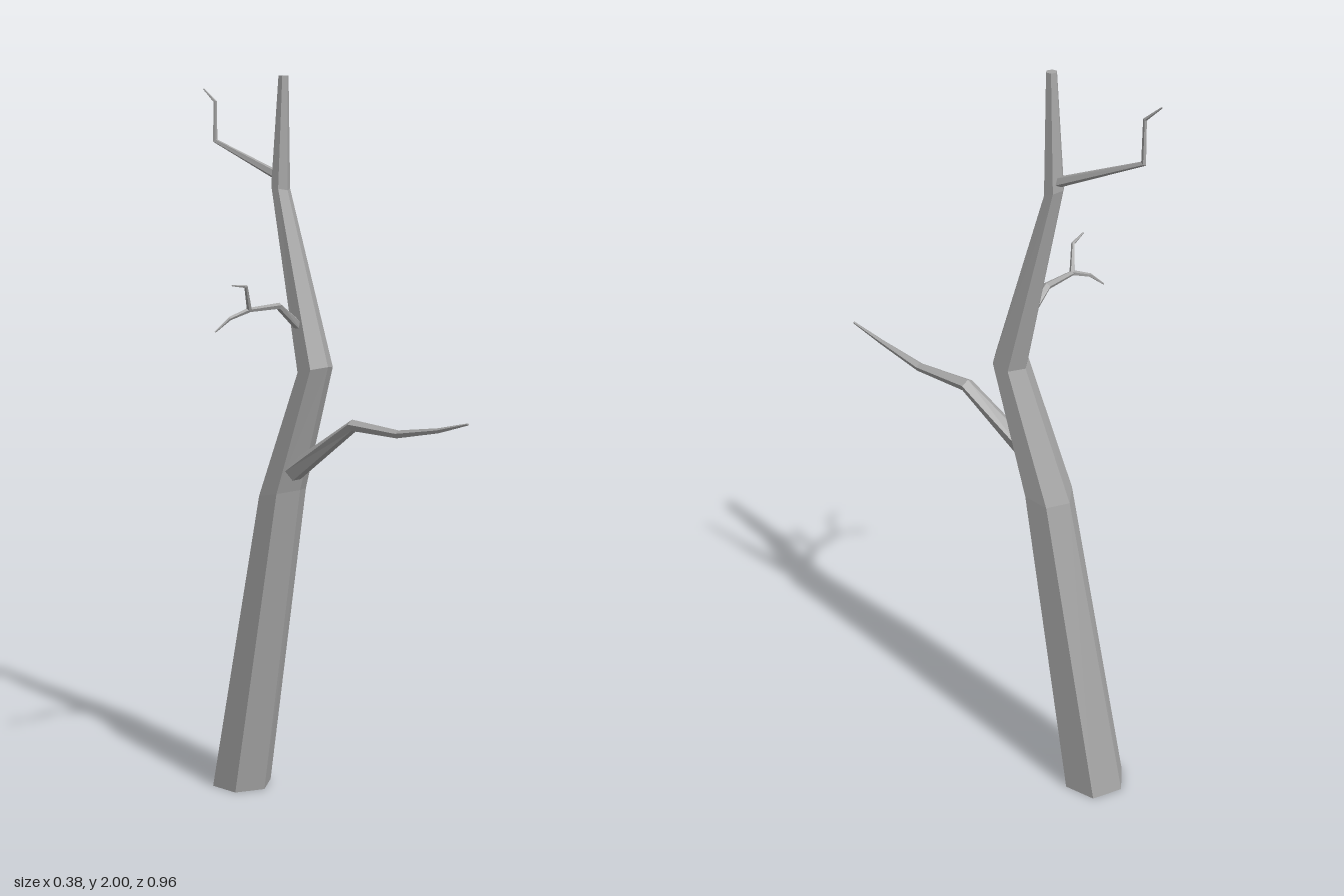
import * as THREE from 'three';

const V = (x, y, z) => new THREE.Vector3(x, y, z);

// Faceted limb through rings [x, y, z, radius across, radius deep, ring normal]
function limb(name, rings, sides, across, material) {
  const pts = rings.map(r => V(r[0], r[1], r[2]));
  const last = rings.length - 1;
  const pos = [], idx = [];
  rings.forEach(([, , , ra, rd = ra, normal], i) => {
    const t = normal ? V(...normal).normalize() : V(0, 0, 0);
    if (!normal) {
      if (i > 0) t.add(pts[i].clone().sub(pts[i - 1]).normalize());
      if (i < last) t.add(pts[i + 1].clone().sub(pts[i]).normalize());
      t.normalize();
    }
    const u = across.clone().addScaledVector(t, -across.dot(t)).normalize();
    const v = t.clone().cross(u);
    for (let j = 0; j < sides; j++) {
      const a = Math.PI / 2 + j / sides * Math.PI * 2;
      const p = pts[i].clone().addScaledVector(u, ra * Math.cos(a)).addScaledVector(v, rd * Math.sin(a));
      pos.push(p.x, p.y, p.z);
    }
  });
  for (let i = 0; i < last; i++) {
    for (let j = 0; j < sides; j++) {
      const k = (j + 1) % sides;
      const a = i * sides + j, b = i * sides + k, c = a + sides, d = b + sides;
      idx.push(a, b, d, a, d, c);
    }
  }
  // End caps
  for (let j = 1; j < sides - 1; j++) {
    const e = last * sides;
    idx.push(0, j + 1, j, e, e + j, e + j + 1);
  }
  let geo = new THREE.BufferGeometry();
  geo.setAttribute('position', new THREE.Float32BufferAttribute(pos, 3));
  geo.setIndex(idx);
  geo = geo.toNonIndexed();
  geo.computeVertexNormals();
  const mesh = new THREE.Mesh(geo, material);
  mesh.name = name;
  return mesh;
}

export function createModel() {
  const group = new THREE.Group();
  group.name = 'bareTree';
  const bark = new THREE.MeshStandardMaterial({ color: 0xa6a6a6 });
  bark.name = 'grey bark';
  const X = V(1, 0, 0), Z = V(0, 0, 1);

  // Six-sided bent trunk
  group.add(limb('trunk', [
    [0.11, 0, -0.36, 0.087, 0.087, [0, 1, 0]],
    [0.11, 0.876, -0.2, 0.071, 0.065, [0, 1, -0.2]],
    [0.11, 1.224, -0.082, 0.054, 0.046, [0, 1, -0.24]],
    [0.11, 1.708, -0.204, 0.028, 0.026, [0, 1, 0.35]],
    [0.11, 2, -0.193, 0.0145, 0.0135, [0, 1, 0]],
  ], 6, X, bark));

  // Long branch reaching forward
  group.add(limb('frontBranch', [
    [0.085, 0.94, -0.14, 0.028],
    [0.081, 1.092, 0.075, 0.022, 0.016],
    [0.063, 1.087, 0.24, 0.014, 0.011],
    [0.044, 1.113, 0.38, 0.007],
    [0.037, 1.14, 0.477, 0.003],
  ], 5, X, bark));

  // Forked branch on the right side
  group.add(limb('sideBranch', [
    [0.1, 1.325, -0.11, 0.015],
    [0.008, 1.4, -0.122, 0.012, 0.009],
    [-0.1, 1.396, -0.13, 0.008, 0.006],
  ], 5, Z, bark));
  group.add(limb('sideUpperTwig', [
    [-0.097, 1.394, -0.13, 0.007],
    [-0.132, 1.46, -0.11, 0.005],
    [-0.19, 1.466, -0.104, 0.002],
  ], 5, Z, bark));
  group.add(limb('sideLowerTwig', [
    [-0.097, 1.397, -0.13, 0.007],
    [-0.148, 1.376, -0.153, 0.005],
    [-0.184, 1.342, -0.172, 0.002],
  ], 5, Z, bark));

  // Thin branch at the back near the top
  group.add(limb('backBranch', [
    [0.115, 1.73, -0.2, 0.014],
    [0.103, 1.83, -0.438, 0.007],
    [0.103, 1.935, -0.437, 0.005],
    [0.1, 1.97, -0.477, 0.002],
  ], 5, X, bark));

  return group;
}
